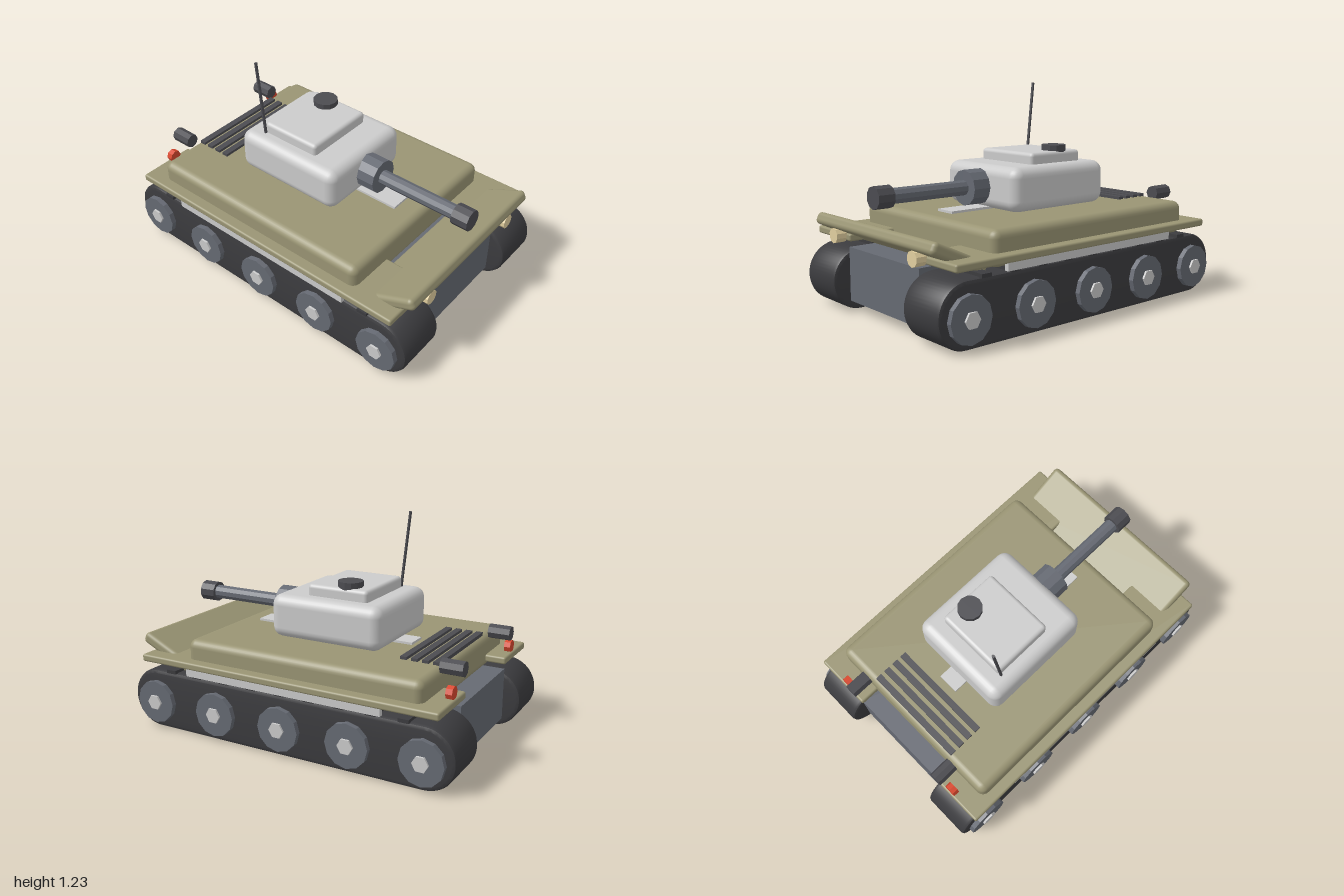
import * as THREE from 'three';
import { RoundedBoxGeometry } from 'three/addons/geometries/RoundedBoxGeometry.js';
import { toCreasedNormals } from 'three/addons/utils/BufferGeometryUtils.js';

const mat = (color) => new THREE.MeshStandardMaterial({ color });
const GREY = mat(0xcccccc), OLIVE = mat(0x9a9574), RUBBER = mat(0x3c3c3f), STEEL = mat(0x666a73),
  DARK = mat(0x4c4c51), LAMP = mat(0xe3d0a0), RED = mat(0xd9482e);

export function createModel() {
  const model = new THREE.Group();

  const add = (name, geometry, material, x, y, z) => {
    const mesh = new THREE.Mesh(geometry, material);
    mesh.name = name;
    mesh.position.set(x, y, z);
    model.add(mesh);
    return mesh;
  };
  const box = (name, m, w, h, d, x, y, z) => add(name, new THREE.BoxGeometry(w, h, d), m, x, y, z);
  const rounded = (name, m, w, h, d, r, x, y, z) =>
    add(name, new RoundedBoxGeometry(w, h, d, 3, r), m, x, y, z);
  // Faceted cylinder along the given axis
  const rod = (name, m, r, length, sides, axis, x, y, z) => {
    const g = new THREE.CylinderGeometry(r, r, length, sides);
    if (axis === 'x') g.rotateZ(Math.PI / 2);
    if (axis === 'z') g.rotateX(Math.PI / 2);
    return add(name, toCreasedNormals(g, 0.3), m, x, y, z);
  };

  // Hull
  box('lowerHull', STEEL, 0.66, 0.3, 1.8, 0, 0.21, 0);
  rounded('upperHull', OLIVE, 1.17, 0.19, 1.43, 0.045, 0, 0.452, -0.08);
  const glacis = rounded('frontPlate', OLIVE, 1.12, 0.068, 0.35, 0.025, 0, 0.432, 0.815);
  glacis.rotation.x = -0.44;
  box('deckStrip', GREY, 0.125, 0.016, 1, 0, 0.552, 0);
  for (let i = 0; i < 4; i++) {
    box('engineVent', DARK, 0.62, 0.022, 0.037, 0, 0.552, -0.75 + i * 0.062);
  }

  // Track outline, extruded across its width with a small bevel
  const r = 0.152, bevel = 0.02;
  const outline = new THREE.Shape();
  outline.absarc(0.828, 0, r, -Math.PI / 2, Math.PI / 2, false);
  outline.absarc(-0.828, 0, r, Math.PI / 2, Math.PI * 1.5, false);
  outline.closePath();
  const extruded = new THREE.ExtrudeGeometry(outline, {
    depth: 0.255, bevelEnabled: true, bevelThickness: bevel, bevelSize: bevel, bevelSegments: 2, curveSegments: 14,
  });
  extruded.translate(0, 0, -0.1275).rotateY(Math.PI / 2);
  const trackGeometry = toCreasedNormals(extruded, 0.6);

  for (const s of [-1, 1]) {
    // Running gear
    add('track', trackGeometry, RUBBER, s * 0.478, 0.175, 0);
    for (let i = 0; i < 9; i++) {
      box('trackPad', RUBBER, 0.29, 0.02, 0.06, s * 0.488, 0.354, -0.72 + i * 0.18);
    }
    for (let i = -2; i <= 2; i++) {
      rod('roadWheel', STEEL, 0.124, 0.06, 12, 'x', s * 0.625, 0.162, i * 0.414);
      rod('wheelHub', GREY, 0.045, 0.04, 6, 'x', s * 0.647, 0.162, i * 0.414);
    }

    // Fender and side rail
    rounded('fender', OLIVE, 0.35, 0.042, 1.825, 0.012, s * 0.475, 0.414, 0);
    box('sideRail', GREY, 0.025, 0.045, 1.2, s * 0.634, 0.378, 0);

    // Lights and exhausts
    rod('headlight', LAMP, 0.042, 0.06, 10, 'z', s * 0.375, 0.424, 0.94);
    rod('tailLight', RED, 0.037, 0.036, 8, 'z', s * 0.435, 0.467, -0.885);
    rod('exhaust', DARK, 0.042, 0.125, 8, 'z', s * 0.35, 0.567, -0.86);
  }

  // Turret
  rounded('turret', GREY, 0.62, 0.245, 0.685, 0.06, 0, 0.67, -0.08);
  rounded('turretRoof', GREY, 0.44, 0.085, 0.37, 0.022, 0, 0.813, -0.118);
  rod('hatch', DARK, 0.071, 0.04, 12, 'y', 0.147, 0.867, -0.165);

  // Gun
  rod('mantlet', STEEL, 0.099, 0.17, 12, 'z', 0, 0.67, 0.285);
  rod('barrel', STEEL, 0.042, 0.52, 10, 'z', 0, 0.67, 0.6);
  rod('muzzle', DARK, 0.061, 0.098, 10, 'z', 0, 0.67, 0.897);

  // Antenna, leaning backwards
  const antenna = rod('antenna', DARK, 0.009, 0.45, 6, 'y', -0.226, 1.005, -0.317);
  antenna.rotation.x = -0.11;

  return model;
}
